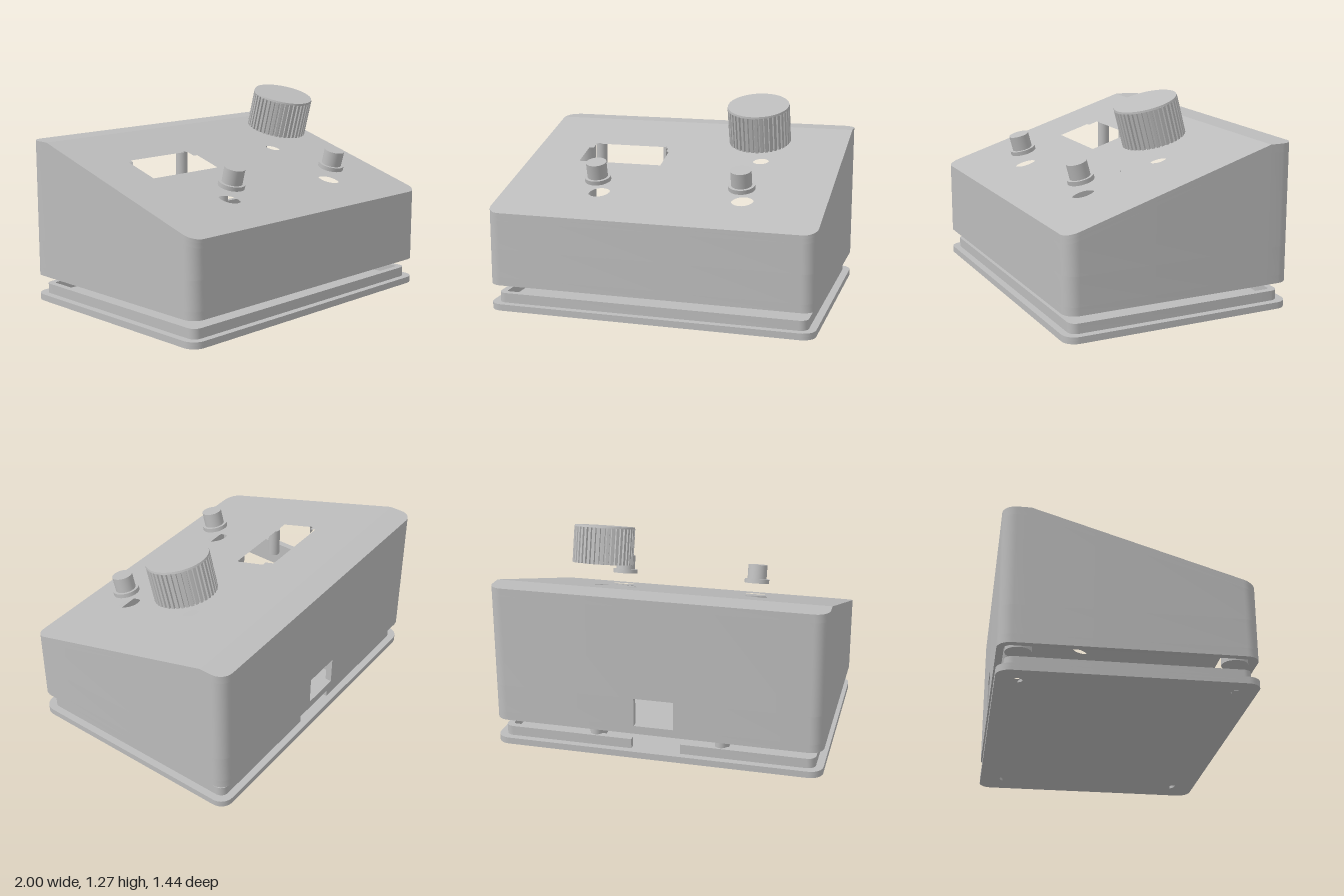
import * as THREE from 'three';
import { toCreasedNormals } from 'three/addons/utils/BufferGeometryUtils.js';

const HX = 1, HZ = 0.72, R = 0.08, WALL = 0.04;
const KINK = -0.56, TILT = 0.26, PANEL = 0.05;
const grey = new THREE.MeshStandardMaterial({ color: 0xbcbcbc });
grey.name = 'plain grey plastic';

// Height of the lid surface: a slope that ends in a flat strip at the back
const lidY = (z) => Math.min(1, 1 - (z - KINK) * 0.3047);

// Rounded rectangle as [x, z] points, starting and ending at the back middle
function outline(hx, hz, r, gap = 0) {
  const pts = [[gap, -hz]];
  const corner = (sx, sz, from) => {
    for (let i = 0; i <= 8; i++) {
      const a = from + (i / 8) * Math.PI / 2;
      pts.push([sx * (hx - r) + r * Math.cos(a), sz * (hz - r) + r * Math.sin(a)]);
    }
  };
  corner(1, -1, -Math.PI / 2);
  pts.push([hx, KINK]);
  corner(1, 1, 0);
  corner(-1, 1, Math.PI / 2);
  pts.push([-hx, KINK]);
  corner(-1, -1, Math.PI);
  if (gap) pts.push([-gap, -hz]);
  return pts;
}

const toV2 = (pts) => pts.map(([x, z]) => new THREE.Vector2(x, -z));
const shapeOf = (pts, holes = []) => {
  const s = new THREE.Shape(toV2(pts));
  holes.forEach((h) => s.holes.push(new THREE.Path(toV2(h))));
  return s;
};
const circle = (cx, cz, r, n = 32) => Array.from({ length: n }, (_, i) => {
  const a = (i / n) * Math.PI * 2;
  return [cx + r * Math.cos(a), cz + r * Math.sin(a)];
});

// Closed ring, or a ring with an opening in the back
function ring(hx, hz, r, t, gap = 0) {
  const outer = outline(hx, hz, r, gap);
  const inner = outline(hx - t, hz - t, Math.max(r - t, 0.02), gap);
  return gap ? shapeOf([...outer, ...inner.reverse()]) : shapeOf(outer, [inner]);
}

// Slab between two heights, each a number or a function of z
function slab(shape, bottom, top) {
  const g = new THREE.ExtrudeGeometry(shape, { depth: 1, bevelEnabled: false });
  g.rotateX(-Math.PI / 2);
  const p = g.attributes.position;
  for (let i = 0; i < p.count; i++) {
    const y = p.getY(i) > 0.5 ? top : bottom;
    p.setY(i, typeof y === 'function' ? y(p.getZ(i)) : y);
  }
  return toCreasedNormals(g, 0.3);
}

function add(parent, name, geometry, x = 0, y = 0, z = 0) {
  const m = new THREE.Mesh(geometry, grey);
  m.name = name;
  m.position.set(x, y, z);
  parent.add(m);
  return m;
}

const post = (parent, name, r, x, z, y0, y1) =>
  add(parent, name, new THREE.CylinderGeometry(r, r, y1 - y0, 24), x, (y0 + y1) / 2, z);

function makeCase() {
  const shell = new THREE.Group();
  shell.name = 'case';
  // Walls, with the cable port as an opening in the middle band
  add(shell, 'lowerWall', slab(ring(HX, HZ, R, WALL), 0.16, 0.21));
  add(shell, 'portWall', slab(ring(HX, HZ, R, WALL, 0.12), 0.21, 0.385));
  add(shell, 'upperWall', slab(ring(HX, HZ, R, WALL), 0.385, (z) => lidY(z) - PANEL));

  // Sloped panel: a cut-through layer and a thin layer that also has the dial groove
  const rim = outline(HX, HZ, R);
  const window = [[-0.675, 0.04], [-0.675, -0.18], [-0.645, -0.18], [-0.645, -0.24],
    [-0.145, -0.24], [-0.145, -0.18], [-0.115, -0.18], [-0.115, 0.04]];
  const holes = [window, circle(0.5, -0.1, 0.055), circle(-0.395, 0.39, 0.07), circle(0.5, 0.39, 0.07)];
  const arc = (r) => Array.from({ length: 41 }, (_, i) => {
    const a = -0.47 + (i / 40) * (Math.PI + 0.94);
    return [0.5 + r * Math.cos(a), -0.085 + r * Math.sin(a)];
  });
  const groove = [...arc(0.24), ...arc(0.212).reverse()];
  const slope = rim.filter(([, z]) => z >= KINK);
  const mid = (z) => lidY(z) - 0.02;
  add(shell, 'panelInner', slab(shapeOf(slope, holes), (z) => lidY(z) - PANEL, mid));
  add(shell, 'panelFace', slab(shapeOf(slope, [...holes, groove]), mid, lidY));
  add(shell, 'topStrip', slab(shapeOf(rim.filter(([, z]) => z <= KINK)), 1 - PANEL, 1));

  // Corner screw posts and display posts
  for (const sx of [-1, 1]) {
    for (const sz of [-1, 1]) {
      post(shell, 'cornerPost', 0.075, sx * 0.87, sz * 0.6, 0.16, lidY(sz * 0.6) - 0.04);
    }
    for (const z of [-0.28, 0.085]) {
      post(shell, 'displayPost', 0.037, -0.39 + sx * 0.235, z, lidY(z) - 0.22, lidY(z) - 0.03);
    }
  }
  return shell;
}

function makeBase() {
  const base = new THREE.Group();
  base.name = 'base';
  const rim = outline(HX, HZ, R);
  const screws = [], recesses = [];
  for (const sx of [-1, 1]) for (const sz of [-1, 1]) {
    screws.push(circle(sx * 0.865, sz * 0.6, 0.029, 20));
    recesses.push(circle(sx * 0.8, sz * 0.535, 0.058, 24));
  }
  add(base, 'basePlateLower', slab(shapeOf(rim, [...screws, ...recesses]), 0, 0.02));
  add(base, 'basePlateUpper', slab(shapeOf(rim, screws), 0.02, 0.04));
  // Locating lip, open behind the cable port
  add(base, 'lip', slab(ring(0.955, 0.677, 0.05, 0.04, 0.15), 0.04, 0.1));
  // Circuit board supports
  for (const x of [-0.39, 0.38]) {
    for (const z of [-0.228, -0.628]) post(base, 'boardPost', 0.038, x, z, 0.04, 0.138);
    add(base, 'boardRail', new THREE.BoxGeometry(0.05, 0.098, 0.4), x, 0.089, -0.428);
  }
  return base;
}

function makeKnob() {
  const knob = new THREE.Group();
  knob.name = 'knob';
  // Ribbed grip with a shaft hole, under a smooth cap
  const ribs = [], n = 40;
  for (let i = 0; i < n; i++) {
    [[0, 0.19], [0.55, 0.19], [0.65, 0.177], [0.9, 0.177]].forEach(([f, r]) => {
      const a = ((i + f) / n) * Math.PI * 2;
      ribs.push([r * Math.cos(a), r * Math.sin(a)]);
    });
  }
  add(knob, 'grip', slab(shapeOf(ribs, [circle(0, 0, 0.045, 24)]), 0, 0.224));
  add(knob, 'cap', new THREE.CylinderGeometry(0.187, 0.19, 0.012, 64), 0, 0.229, 0);
  knob.position.set(0.5, 0.99, -0.069);
  knob.rotation.x = TILT;
  return knob;
}

function makeButton(x) {
  const button = new THREE.Group();
  button.name = 'button';
  add(button, 'flange', new THREE.CylinderGeometry(0.08, 0.08, 0.026, 40), 0, 0.013, 0);
  add(button, 'stem', new THREE.CylinderGeometry(0.062, 0.062, 0.1, 40), 0, 0.069, 0);
  button.position.set(x, 0.782, 0.403);
  button.rotation.x = TILT;
  return button;
}

export function createModel() {
  const model = new THREE.Group();
  model.name = 'controlBox';
  model.add(makeBase(), makeCase(), makeKnob(), makeButton(-0.395), makeButton(0.5));
  return model;
}
